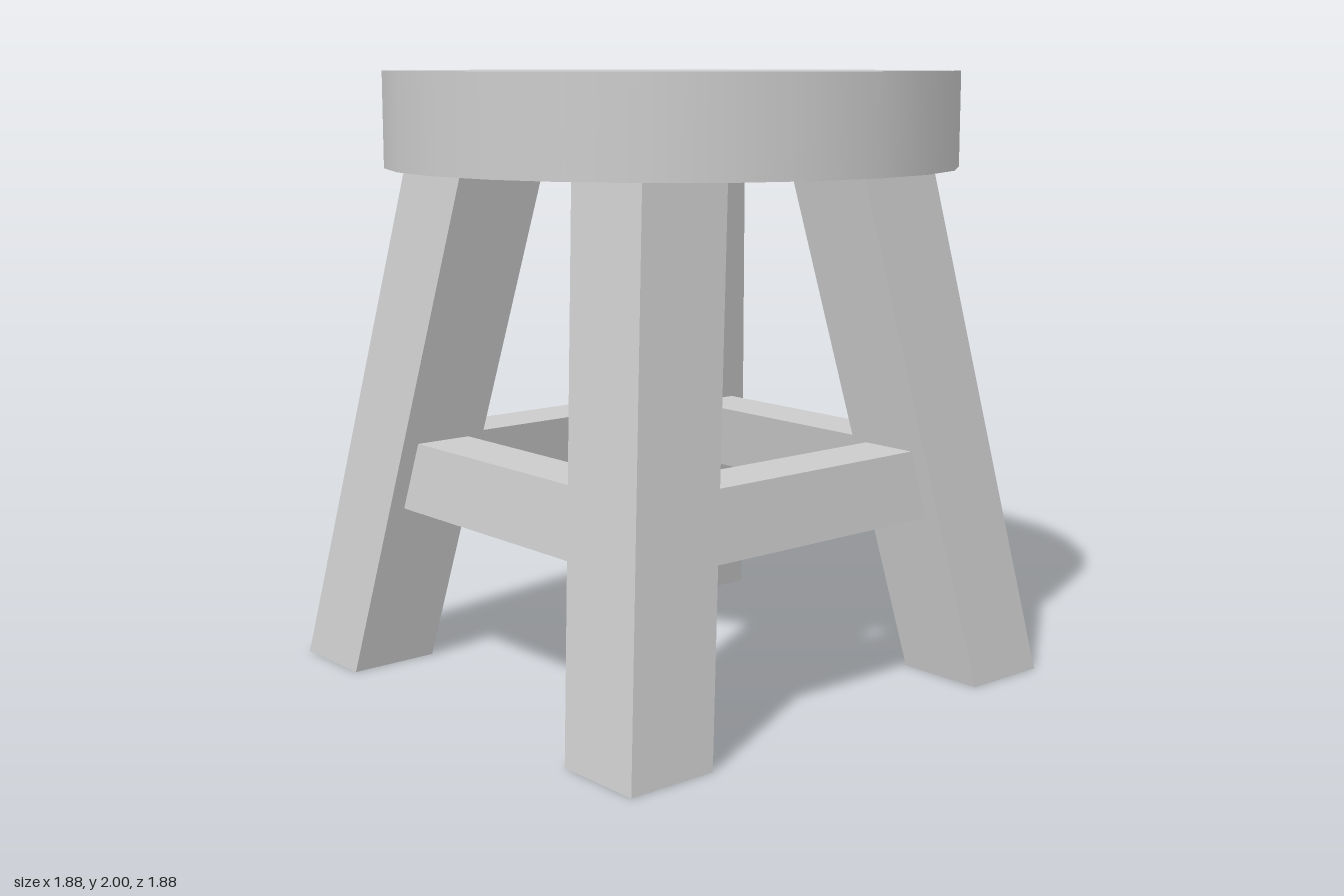
import * as THREE from 'three';

const SEAT_BOTTOM = 1.69;
const material = new THREE.MeshStandardMaterial({ color: 0xcccccc });

// Leg centre offset and half thickness at height y: legs splay outward toward the floor
const legCentre = (y) => 0.73 - (0.2775 * y) / SEAT_BOTTOM;
const legHalf = (y) => 0.1525 + (0.0125 * y) / SEAT_BOTTOM;

// Box between two heights whose corners (sides -1 or 1) are placed by a rule
function splayedBox(y0, y1, rule) {
  const geometry = new THREE.BoxGeometry(2, 2, 2);
  const p = geometry.attributes.position;
  for (let i = 0; i < p.count; i++) {
    const y = p.getY(i) < 0 ? y0 : y1;
    const [x, z] = rule(p.getX(i), p.getZ(i), y);
    p.setXYZ(i, x, y, z);
  }
  geometry.computeVertexNormals();
  return geometry;
}

export function createModel() {
  const stool = new THREE.Group();
  stool.name = 'stool';

  // Round seat
  const seat = new THREE.Mesh(new THREE.CylinderGeometry(0.94, 0.94, 2 - SEAT_BOTTOM, 24), material);
  seat.name = 'seat';
  seat.position.y = (2 + SEAT_BOTTOM) / 2;
  stool.add(seat);

  // Base sits slightly off the seat's axis
  const base = new THREE.Group();
  base.name = 'base';
  base.position.x = -0.0225;
  stool.add(base);

  const legGeometry = splayedBox(0, SEAT_BOTTOM, (sx, sz, y) => [
    legCentre(y) + sx * legHalf(y),
    legCentre(y) + sz * legHalf(y),
  ]);

  // Rail between two legs, leaning with them and ending just inside them
  const railGeometry = splayedBox(0.56, 0.78, (sx, sz, y) => [
    sx * (legCentre(y) - legHalf(y) + 0.01),
    legCentre(y) + sz * 0.1,
  ]);

  // Four legs and four rails around the base
  const legNames = ['frontLeftLeg', 'backLeftLeg', 'backRightLeg', 'frontRightLeg'];
  const railNames = ['frontRail', 'leftRail', 'backRail', 'rightRail'];
  for (let k = 0; k < 4; k++) {
    const leg = new THREE.Mesh(legGeometry, material);
    leg.name = legNames[k];
    const rail = new THREE.Mesh(railGeometry, material);
    rail.name = railNames[k];
    leg.rotation.y = rail.rotation.y = (k * Math.PI) / 2;
    base.add(leg, rail);
  }

  return stool;
}
